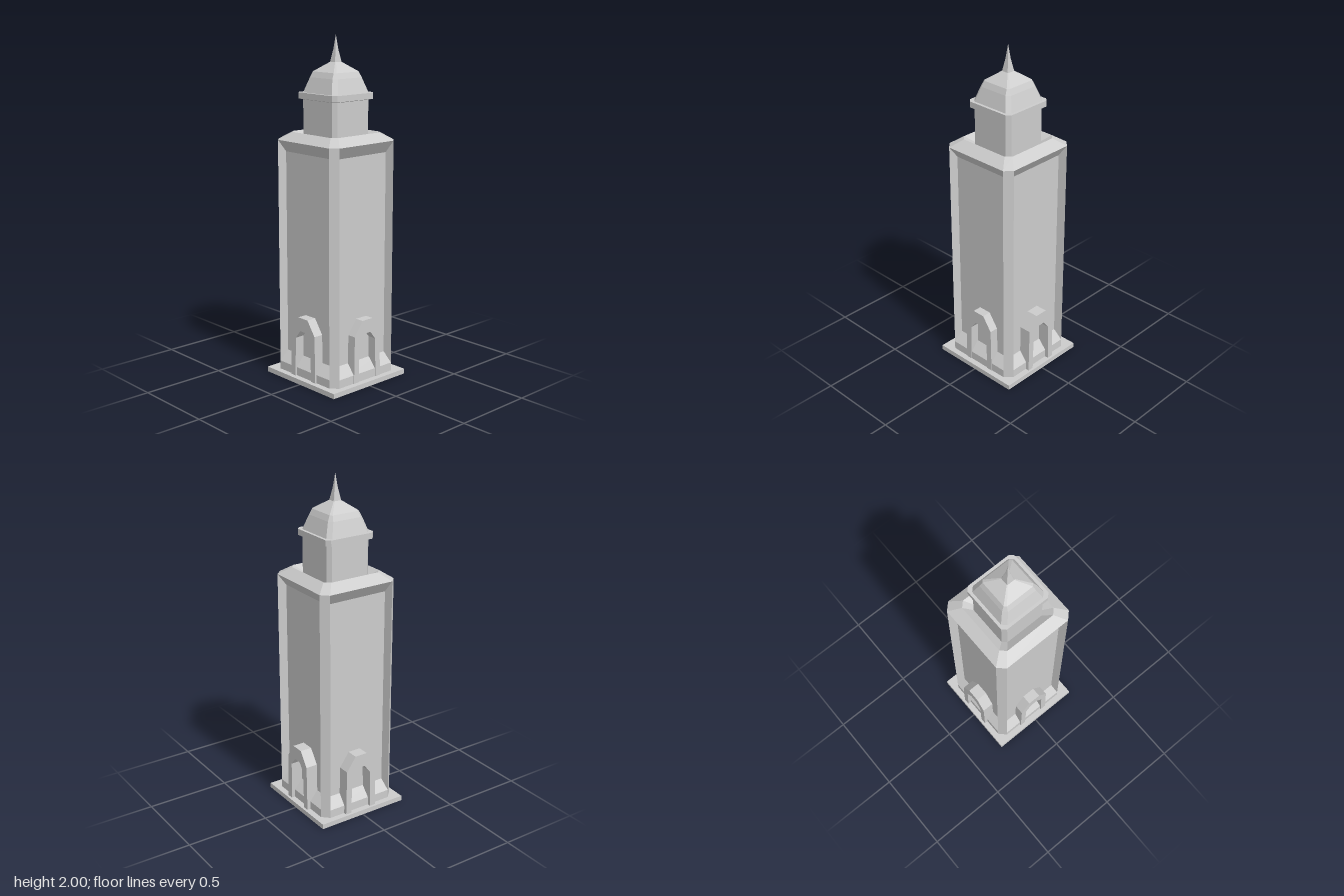
import * as THREE from 'three';

const material = new THREE.MeshStandardMaterial({ color: 0xcccccc, flatShading: true });

// Square ring with cut corners: half sizes, corner cut, height,
// and an optional panel recess on each side.
function ring(hx, hz, cut, y, recess = 0, inset = 0) {
  const quarter = [
    [hx - recess, hz - cut - inset],
    [hx, hz - cut],
    [hx - cut, hz],
    [hx - cut - inset, hz - recess],
  ];
  const points = [];
  for (const [sx, sz] of [[1, 1], [-1, 1], [-1, -1], [1, -1]]) {
    const corner = sx * sz > 0 ? quarter : [...quarter].reverse();
    for (const [x, z] of corner) points.push(new THREE.Vector3(x * sx, y, z * sz));
  }
  return points;
}

// Skin a stack of rings and close both ends.
function loft(name, rings) {
  const pos = [];
  const tri = (...pts) => pts.forEach((p) => pos.push(p.x, p.y, p.z));
  const n = rings[0].length;
  for (let r = 0; r + 1 < rings.length; r++) {
    for (let i = 0; i < n; i++) {
      const j = (i + 1) % n;
      const low = rings[r], high = rings[r + 1];
      tri(low[i], high[i], low[j]);
      tri(low[j], high[i], high[j]);
    }
  }
  const first = rings[0], last = rings[rings.length - 1];
  const bottom = new THREE.Vector3(0, first[0].y, 0);
  const top = new THREE.Vector3(0, last[0].y, 0);
  for (let i = 0; i < n; i++) {
    const j = (i + 1) % n;
    tri(bottom, first[i], first[j]);
    tri(top, last[j], last[i]);
  }
  const geometry = new THREE.BufferGeometry();
  geometry.setAttribute('position', new THREE.Float32BufferAttribute(pos, 3));
  geometry.computeVertexNormals();
  const mesh = new THREE.Mesh(geometry, material);
  mesh.name = name;
  return mesh;
}

// Faceted door surround, standing between the depths "back" and "front".
function doorArch(name, back, front, shift, turn) {
  const outline = [
    [-0.105, 0.03], [-0.1, 0.31], [-0.04, 0.395], [0.04, 0.395], [0.1, 0.31], [0.105, 0.03],
    [0.068, 0.03], [0.063, 0.265], [0.024, 0.315], [-0.024, 0.315], [-0.063, 0.265], [-0.068, 0.03],
  ];
  const shape = new THREE.Shape(outline.map(([x, y]) => new THREE.Vector2(x, y)));
  const geometry = new THREE.ExtrudeGeometry(shape, { depth: front - back, bevelEnabled: false });
  geometry.translate(0, 0, back);
  geometry.rotateY(turn);
  geometry.translate(shift, 0, 0);
  const mesh = new THREE.Mesh(geometry, material);
  mesh.name = name;
  return mesh;
}

export function createModel() {
  const model = new THREE.Group();
  model.name = 'tower';

  // Ground slab
  const slab = new THREE.Mesh(new THREE.BoxGeometry(0.574, 0.03, 0.584), material);
  slab.name = 'baseSlab';
  slab.position.y = 0.015;
  model.add(slab);

  // Shaft with recessed panels, sloped roof edge and sunken roof
  const hx = 0.25, hz = 0.256, cut = 0.041;
  model.add(loft('shaft', [
    ring(hx, hz, cut, 0.03),
    ring(hx, hz, cut, 0.08),
    ring(hx, hz, cut, 0.14, 0.05, 0.012),
    ring(hx, hz, cut, 1.34, 0.05, 0.012),
    ring(hx, hz, cut, 1.41),
    ring(0.187, 0.19, 0.03, 1.455),
    ring(0.14, 0.142, 0.022, 1.42),
  ]));

  // Door surrounds on the four sides
  model.add(doorArch('frontArch', 0.2, 0.26, 0.007, 0));
  model.add(doorArch('backArch', 0.2, 0.277, 0.007, Math.PI));
  model.add(doorArch('leftArch', 0.195, 0.272, 0, Math.PI / 2));
  model.add(doorArch('rightArch', 0.195, 0.259, 0, -Math.PI / 2));

  // Lantern and its cornice
  model.add(loft('lantern', [
    ring(0.14, 0.142, 0.022, 1.41),
    ring(0.14, 0.142, 0.022, 1.65),
  ]));
  model.add(loft('cornice', [
    ring(0.14, 0.142, 0.022, 1.64),
    ring(0.158, 0.16, 0.022, 1.645),
    ring(0.158, 0.16, 0.022, 1.68),
  ]));

  // Faceted dome
  model.add(loft('dome', [
    ring(0.141, 0.143, 0.024, 1.68),
    ring(0.112, 0.114, 0.021, 1.765),
    ring(0.096, 0.098, 0.012, 1.797),
    ring(0.025, 0.025, 0.004, 1.85),
  ]));

  // Spire
  model.add(loft('spire', [
    ring(0.025, 0.025, 0.004, 1.85),
    ring(0.011, 0.011, 0.002, 1.92),
    ring(0.0005, 0.0005, 0.0001, 2),
  ]));

  return model;
}
